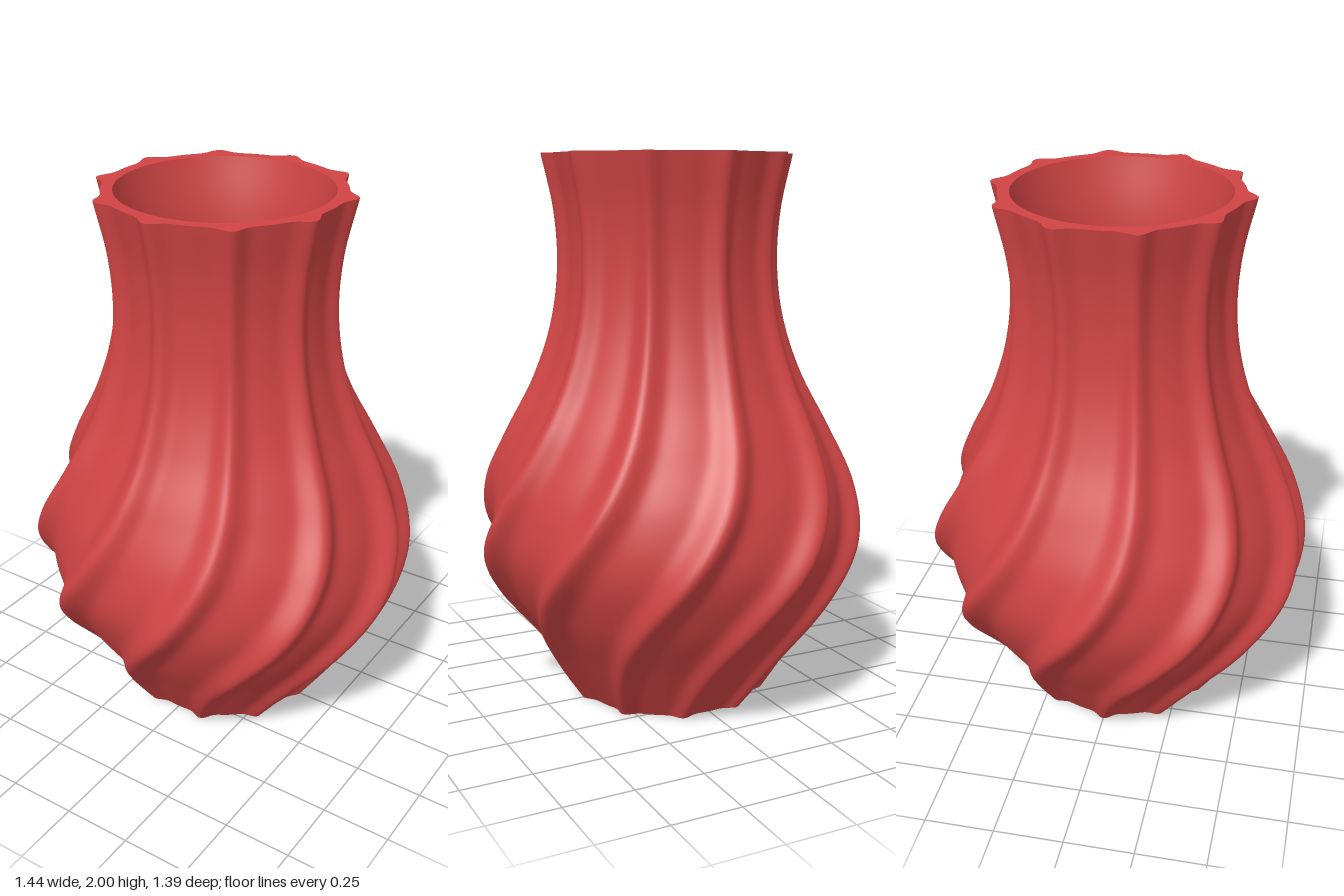
import * as THREE from 'three';

const RIBS = 10;
const SEGMENTS = 360; // around the axis
const ROWS = 90; // up the wall
const HOLE = 0.033; // drain hole radius
const FLOOR = 0.05; // floor thickness
const WALL = 0.081; // from rib crest to the inside

// Stations up the vase: rib crest radius, height, twist in degrees
const stations = [
  [0.358, 0, -54], [0.5, 0.2, -45.5], [0.637, 0.4, -34.5], [0.715, 0.6, -22],
  [0.692, 0.8, -11], [0.603, 1, -4], [0.5, 1.2, -1], [0.432, 1.4, 0],
  [0.405, 1.6, 0], [0.415, 1.8, 0], [0.457, 2, 0],
];
const spine = new THREE.CatmullRomCurve3(
  stations.map(([r, y, deg]) => new THREE.Vector3(r, y, THREE.MathUtils.degToRad(deg))),
  false, 'catmullrom',
);

// Radius of the ribbed outside at a station, for angle a
function ribbed(station, a) {
  const crest = Math.pow(Math.cos((RIBS / 2) * (a - station.z)), 8);
  return station.x * (0.914 + 0.086 * crest);
}

// Rows are { y, r(angle) }, listed counterclockwise round the wall's section
function ringSurface(rows) {
  const positions = [];
  const index = [];
  for (const row of rows) {
    for (let i = 0; i < SEGMENTS; i++) {
      const a = (i / SEGMENTS) * Math.PI * 2;
      const r = row.r(a);
      positions.push(r * Math.sin(a), row.y, r * Math.cos(a));
    }
  }
  for (let j = 0; j < rows.length - 1; j++) {
    for (let i = 0; i < SEGMENTS; i++) {
      const next = (i + 1) % SEGMENTS;
      const a = j * SEGMENTS + i;
      const b = j * SEGMENTS + next;
      index.push(a, b, b + SEGMENTS, a, b + SEGMENTS, a + SEGMENTS);
    }
  }
  const geometry = new THREE.BufferGeometry();
  geometry.setAttribute('position', new THREE.Float32BufferAttribute(positions, 3));
  geometry.setIndex(index);
  geometry.computeVertexNormals();
  return geometry;
}

export function createModel() {
  const group = new THREE.Group();
  group.name = 'vase';
  const material = new THREE.MeshStandardMaterial({ color: 0xd04444 });

  const add = (name, rows) => {
    const mesh = new THREE.Mesh(ringSurface(rows), material);
    mesh.name = name;
    group.add(mesh);
  };
  const circle = (radius, y) => ({ y, r: () => radius });

  const levels = spine.getPoints(ROWS);
  const outer = levels.map((s) => ({ y: s.y, r: (a) => ribbed(s, a) }));
  const inner = levels
    .filter((s) => s.y > FLOOR)
    .map((s) => circle(s.x - WALL, s.y))
    .reverse();
  const floorEdge = inner[inner.length - 1];
  floorEdge.y = FLOOR;

  // Twisted ribbed outside
  add('outerWall', outer);
  // Flat scalloped top edge
  add('rim', [outer[ROWS], inner[0]]);
  // Smooth inside wall
  add('innerWall', inner);
  // Inside floor, drain hole and underside
  add('floor', [floorEdge, circle(HOLE, FLOOR)]);
  add('drainHole', [circle(HOLE, FLOOR), circle(HOLE, 0)]);
  add('base', [circle(HOLE, 0), outer[0]]);

  return group;
}
